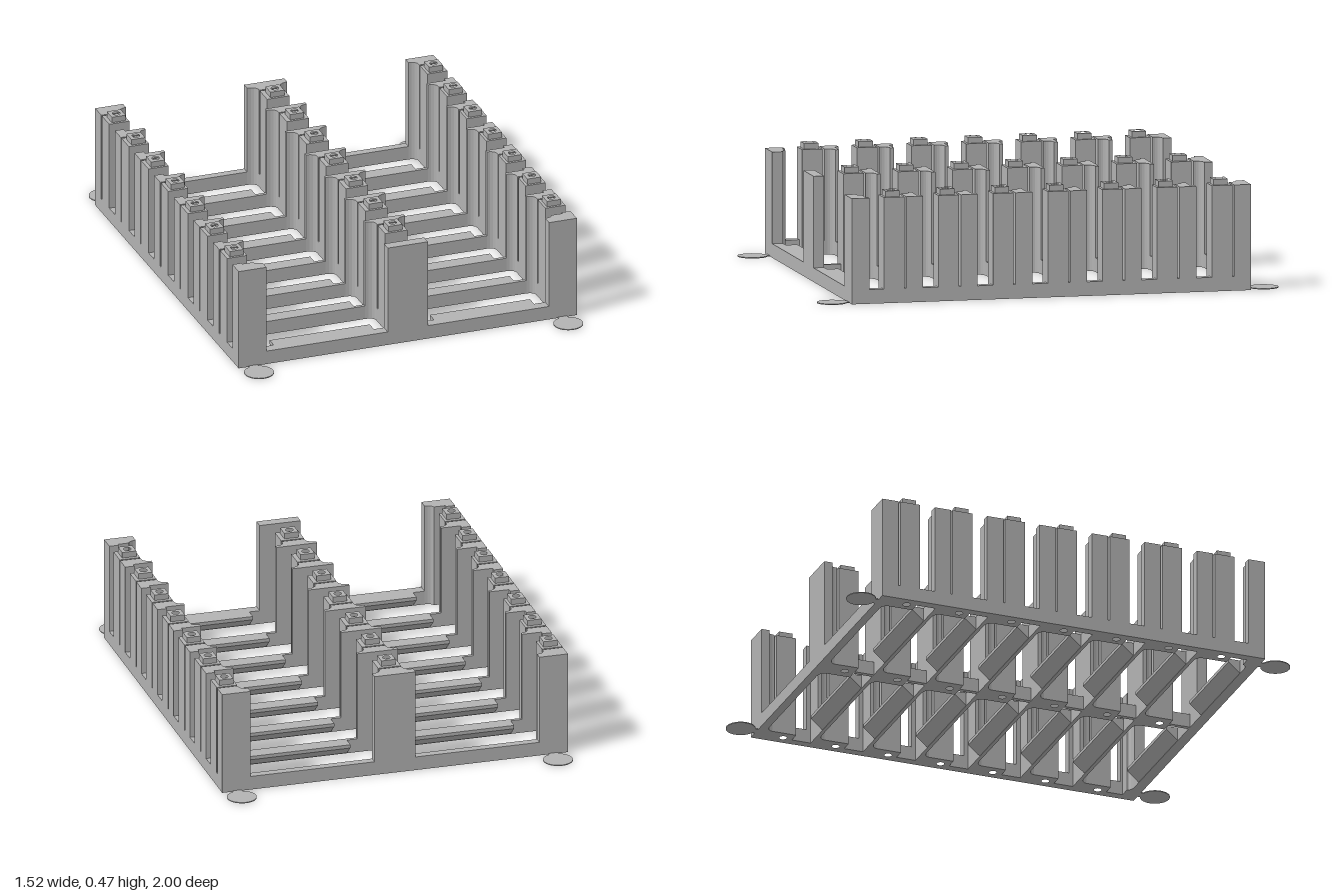
import * as THREE from 'three';

const FLOOR = 0.06, WALL = 0.45, KNOB = 0.475;
const PITCH = 0.2372, START = -0.866, EDGE = 0.76;

export function createModel() {
  const model = new THREE.Group();
  model.name = 'slottedRack';
  const grey = new THREE.MeshStandardMaterial({ color: 0xb2b2b2 });
  grey.name = 'grey plastic';

  function add(name, geometry) {
    const mesh = new THREE.Mesh(geometry, grey);
    mesh.name = name;
    model.add(mesh);
    return mesh;
  }

  // Box given by its limits
  function box(name, x0, x1, y0, y1, z0, z1) {
    const g = new THREE.BoxGeometry(Math.abs(x1 - x0), y1 - y0, z1 - z0);
    g.translate((x0 + x1) / 2, (y0 + y1) / 2, (z0 + z1) / 2);
    add(name, g);
  }

  // Plan outline of [x, z] points raised from y0 to y1
  function prism(name, points, y0, y1, hole) {
    const shape = new THREE.Shape(points.map(([x, z]) => new THREE.Vector2(x, -z)));
    if (hole) {
      const path = new THREE.Path();
      path.absarc(hole[0], -hole[1], hole[2], 0, Math.PI * 2, true);
      shape.holes.push(path);
    }
    const g = new THREE.ExtrudeGeometry(shape, { depth: y1 - y0, bevelEnabled: false, curveSegments: 10 });
    g.rotateX(-Math.PI / 2).translate(0, y0, 0);
    add(name, g);
  }

  const rect = (x0, x1, z0, z1) => [[x0, z0], [x1, z0], [x1, z1], [x0, z1]];

  // Quarter-round between a flange tip (xa, za) and a stem side (xb, zb)
  function fillet(xa, za, xb, zb) {
    return [0, 1, 2, 3, 4].map(i => {
      const a = (i / 4) * Math.PI / 2;
      return [xa + (xb - xa) * Math.sin(a), zb + (za - zb) * Math.cos(a)];
    });
  }

  // Hollow post with a smaller knob on top
  function post(x0, x1, xc, z) {
    const zc = z + 0.128;
    prism('post', rect(x0, x1, z + 0.081, z + 0.17), 0, WALL, [xc, zc, 0.016]);
    prism('postKnob', rect(xc - 0.031, xc + 0.031, zc - 0.031, zc + 0.031), WALL, KNOB, [xc, zc, 0.016]);
  }

  for (let k = 0; k < 7; k++) {
    const z = START + k * PITCH;
    const next = k < 6 ? z + PITCH : 0.79;
    const f0 = k ? z + 0.018 : z, f1 = k ? z + 0.034 : z + 0.036;
    const zb = f1 + 0.026, zEnd = z + 0.073;

    // Low cross bar between the columns
    box('crossBar', -EDGE, EDGE, 0, FLOOR, f0, f1);

    // Centre column
    prism('centreWall', [
      [-0.09, f0], [0.09, f0], ...fillet(0.09, f1, 0.05, zb),
      [0.05, zEnd], [-0.05, zEnd], ...fillet(-0.09, f1, -0.05, zb).reverse(),
    ], 0, WALL);
    box('centreFoot', -0.05, 0.05, 0, FLOOR, zEnd, z + 0.081);
    post(-0.05, 0.05, 0, z);
    box('centreWeb', -0.01, 0.01, 0, FLOOR, z + 0.17, k < 6 ? next + 0.018 : 0.82);

    // Outer columns and their rails
    for (const s of [-1, 1]) {
      prism('sideWall', [
        [s * EDGE, z], [s * 0.72, z], [s * 0.72, f0], [s * 0.635, f0],
        ...fillet(s * 0.635, f1, s * 0.67, zb), [s * 0.67, zEnd], [s * EDGE, zEnd],
      ].filter((p, i) => k || i !== 2 && i !== 1), 0, WALL);
      box('sideFoot', s * 0.67, s * EDGE, 0, FLOOR, zEnd, z + 0.081);
      post(Math.min(s * 0.67, s * EDGE), Math.max(s * 0.67, s * EDGE), s * 0.713, z);
      box('sideRail', s * 0.72, s * EDGE, 0, FLOOR, z + 0.17, next);
    }
  }

  // Front bar and end walls
  box('frontBar', -EDGE, EDGE, 0, FLOOR, 0.82, 0.866);
  box('frontCentreWall', -0.09, 0.09, 0, WALL, 0.82, 0.866);
  for (const s of [-1, 1]) {
    prism('frontCornerWall', [
      [s * EDGE, 0.866], [s * 0.635, 0.866], ...fillet(s * 0.635, 0.82, s * 0.67, 0.8),
      [s * 0.72, 0.8], [s * 0.72, 0.79], [s * EDGE, 0.79],
    ], 0, WALL);
  }

  // Wedge ledges behind each bar, sloping underneath
  for (let k = 1; k <= 7; k++) {
    const z = k < 7 ? START + k * PITCH + 0.02 : 0.822;
    for (const s of [-1, 1]) {
      const side = new THREE.Shape([
        new THREE.Vector2(0, 0), new THREE.Vector2(0, FLOOR),
        new THREE.Vector2(0.053, FLOOR), new THREE.Vector2(0.053, 0.045),
      ]);
      const g = new THREE.ExtrudeGeometry(side, { depth: 0.45, bevelEnabled: false });
      g.rotateY(Math.PI / 2).translate(s * 0.36 - 0.225, 0, z);
      add('ledge', g);
    }
  }

  // Thin corner discs with short tabs
  for (const sx of [-1, 1]) for (const sz of [-1, 1]) {
    const disc = new THREE.CylinderGeometry(0.063, 0.063, 0.004, 32);
    add('cornerDisc', disc.translate(sx * 0.695, 0.002, sz * 0.937));
    const z0 = sz > 0 ? 0.86 : -0.89;
    box('discTab', sx * 0.695 - 0.02, sx * 0.695 + 0.02, 0, 0.004, z0, z0 + 0.03);
  }

  return model;
}
